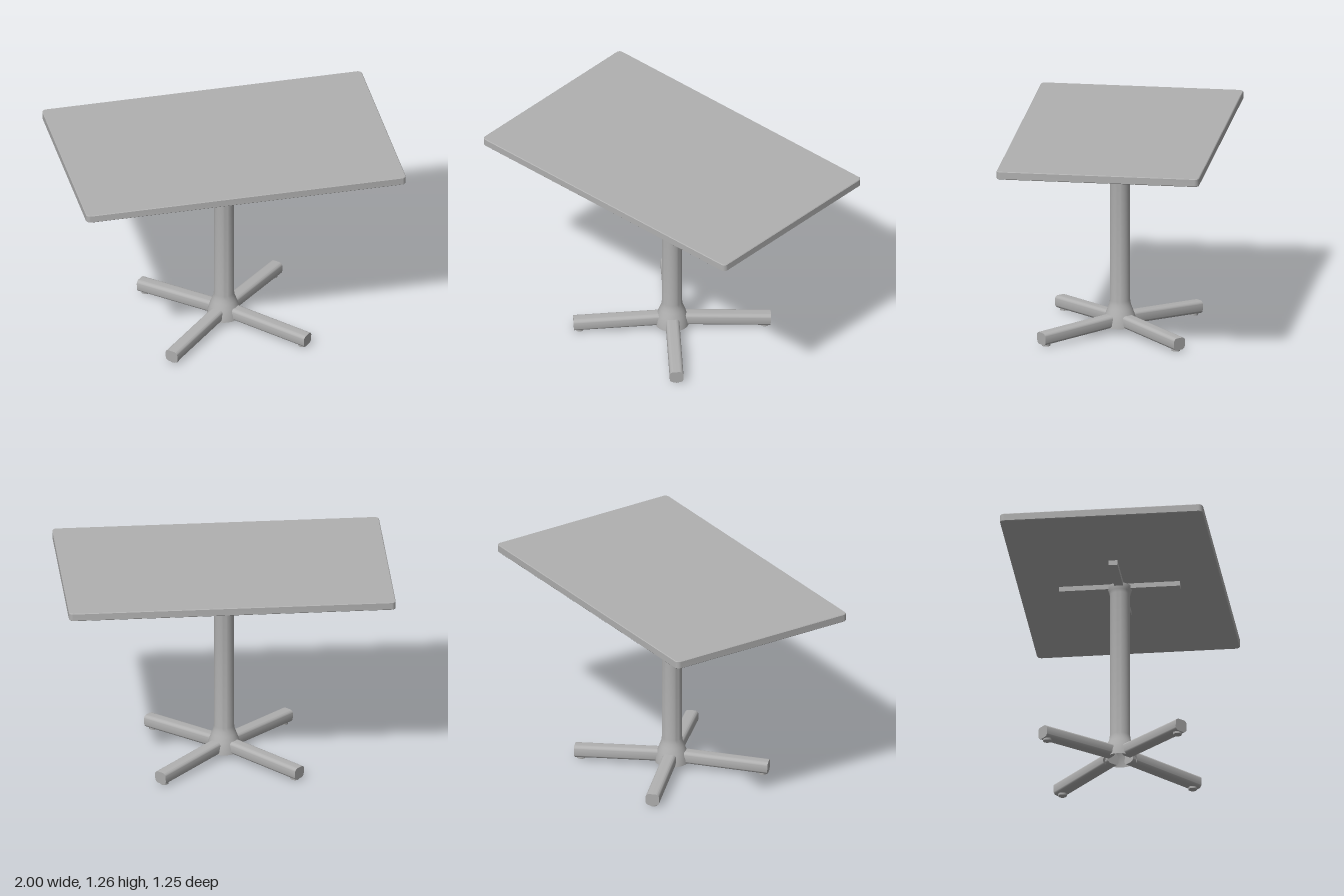
import * as THREE from 'three';
import { toCreasedNormals } from 'three/addons/utils/BufferGeometryUtils.js';

const grey = new THREE.MeshStandardMaterial({ color: 0xb0b0b0 });
grey.name = 'grey';
const greyOpen = grey.clone(); // same colour, for the hollow column
greyOpen.side = THREE.DoubleSide;

function roundedRect(w, h, r) {
  const s = new THREE.Shape();
  const x = w / 2, y = h / 2;
  s.moveTo(-x + r, -y);
  s.lineTo(x - r, -y);
  s.absarc(x - r, -y + r, r, -Math.PI / 2, 0);
  s.lineTo(x, y - r);
  s.absarc(x - r, y - r, r, 0, Math.PI / 2);
  s.lineTo(-x + r, y);
  s.absarc(-x + r, y - r, r, Math.PI / 2, Math.PI);
  s.lineTo(-x, -y + r);
  s.absarc(-x + r, -y + r, r, Math.PI, Math.PI * 1.5);
  return s;
}

function add(parent, name, geometry, x = 0, y = 0, z = 0, material = grey) {
  const mesh = new THREE.Mesh(geometry, material);
  mesh.name = name;
  mesh.position.set(x, y, z);
  parent.add(mesh);
  return mesh;
}

export function createModel() {
  const table = new THREE.Group();
  table.name = 'pedestalTable';

  // Slab with rounded corners and a fine eased edge
  const bevel = 0.004;
  const slab = new THREE.ExtrudeGeometry(roundedRect(2 - 2 * bevel, 1.246 - 2 * bevel, 0.024), {
    depth: 0.05 - 2 * bevel, curveSegments: 5,
    bevelEnabled: true, bevelThickness: bevel, bevelSize: bevel, bevelSegments: 1,
  });
  slab.rotateX(-Math.PI / 2);
  add(table, 'tableTop', toCreasedNormals(slab, 0.6), 0, 1.214 + bevel, 0);

  // Crossed bars beneath the slab
  add(table, 'supportBarX', new THREE.BoxGeometry(0.74, 0.031, 0.054), 0, 1.1925, 0);
  add(table, 'supportBarZ', new THREE.BoxGeometry(0.054, 0.031, 0.74), 0, 1.1925, 0);

  // Hollow column, flared at the collar and at the hub
  const profile = [
    [0.104, 0.034], [0.1, 0.07], [0.088, 0.11], [0.075, 0.145], [0.066, 0.17], [0.062, 0.195],
    [0.062, 1.14], [0.066, 1.16], [0.073, 1.178], [0.073, 1.197],
  ].map(([r, y]) => new THREE.Vector2(r, y));
  add(table, 'column', toCreasedNormals(new THREE.LatheGeometry(profile, 40), 0.6), 0, 0, 0, greyOpen);

  // Four sloping legs on the diagonals, each with a round foot
  const legGeometry = toCreasedNormals(new THREE.ExtrudeGeometry(roundedRect(0.084, 0.077, 0.023), {
    depth: 0.532, curveSegments: 4, bevelEnabled: false,
  }), 0.6);
  const footGeometry = new THREE.CylinderGeometry(0.028, 0.026, 0.03, 20);
  for (let i = 0; i < 4; i++) {
    const leg = new THREE.Group();
    leg.name = 'leg' + (i + 1);
    leg.rotation.y = Math.PI / 4 + i * Math.PI / 2;
    add(leg, 'legTube', legGeometry, 0, 0.073, 0.07).rotation.x = 0.045;
    add(leg, 'foot', footGeometry, 0, 0.015, 0.565);
    table.add(leg);
  }
  return table;
}
